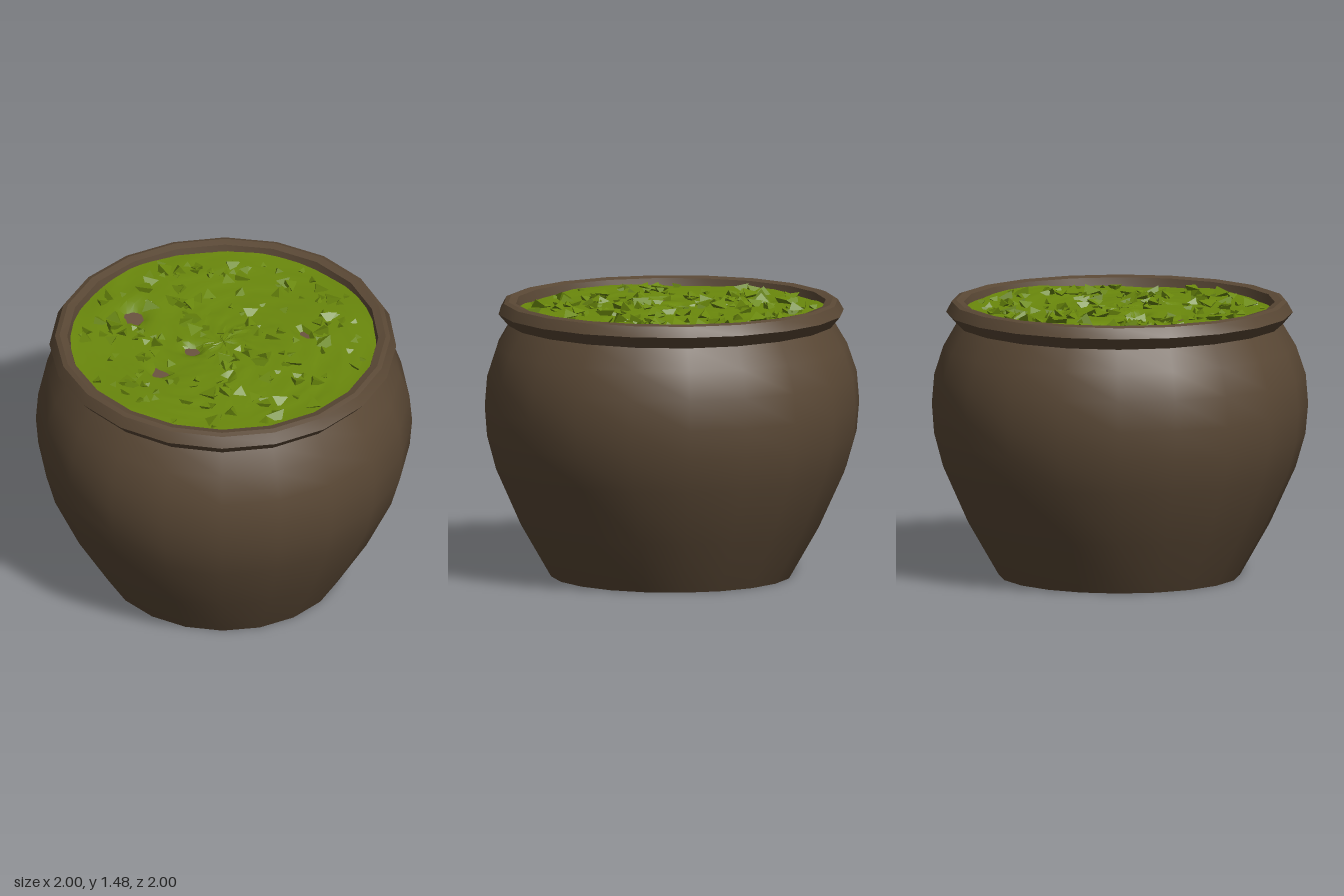
import * as THREE from 'three';
import { mergeGeometries, toCreasedNormals } from 'three/addons/utils/BufferGeometryUtils.js';

// Seeded random numbers
function makeRandom(seed) {
  return () => {
    seed = (seed * 1664525 + 1013904223) % 4294967296;
    return seed / 4294967296;
  };
}

// Bare soil spots: x, z, radius
const BARE = [
  [-0.53, 0.08, 0.06], [-0.71, -0.14, 0.03], [0.28, -0.34, 0.03], [0.53, -0.2, 0.03],
  [-0.13, 0.4, 0.04], [-0.1, 0.14, 0.04], [0.66, 0.04, 0.03], [0.2, 0.24, 0.02],
];
const SOIL_Y = 1.4;

// Gently lumpy moss height with dips at the bare spots
function mossHeight(x, z) {
  let y = 1.427 + 0.007 * Math.sin(7 * x + 2 * z) + 0.006 * Math.cos(8 * z - 3 * x);
  for (const [bx, bz, r] of BARE) {
    y -= 0.06 * Math.exp(-((x - bx) ** 2 + (z - bz) ** 2) / (r * r));
  }
  return y;
}

function lathe(profile, sides, wobble) {
  const geo = new THREE.LatheGeometry(profile.map(([x, y]) => new THREE.Vector2(x, y)), sides);
  const p = geo.attributes.position;
  for (let i = 0; i < p.count; i++) {
    const x = p.getX(i), y = p.getY(i), z = p.getZ(i);
    const a = Math.atan2(z, x);
    const k = 1 + wobble * Math.sin(3 * a + 4 * y);
    p.setX(i, x * k);
    p.setZ(i, z * k);
  }
  return toCreasedNormals(geo, 0.5);
}

// Moss carpet: a disc with jittered vertices
function mossCarpet(random) {
  const geo = new THREE.RingGeometry(0.001, 0.812, 44, 22);
  geo.rotateX(-Math.PI / 2);
  const p = geo.attributes.position;
  for (let ring = 0; ring <= 22; ring++) {
    for (let s = 0; s <= 44; s++) {
      const i = ring * 45 + s;
      if (s === 44) {
        p.setXYZ(i, p.getX(i - 44), p.getY(i - 44), p.getZ(i - 44));
        continue;
      }
      const amount = ring > 0 && ring < 22 ? 0.012 : 0;
      const x = p.getX(i) + (random() - 0.5) * amount;
      const z = p.getZ(i) + (random() - 0.5) * amount;
      p.setXYZ(i, x, mossHeight(x, z) + (random() - 0.5) * 0.008, z);
    }
  }
  return toCreasedNormals(geo, 0.5);
}

// Small angular tufts scattered over the carpet
function mossTufts(random) {
  const tufts = [];
  while (tufts.length < 190) {
    const a = random() * Math.PI * 2, r = 0.76 * Math.sqrt(random());
    const x = r * Math.cos(a), z = r * Math.sin(a);
    if (BARE.some(([bx, bz, br]) => Math.hypot(x - bx, z - bz) < br + 0.04)) continue;
    const size = 0.02 + 0.035 * random() ** 2;
    const geo = new THREE.TetrahedronGeometry(size);
    geo.rotateX(random() * 6.28).rotateY(random() * 6.28).rotateZ(random() * 6.28);
    geo.scale(1.2, 0.85, 1.2);
    geo.translate(x, mossHeight(x, z) + size * 0.2, z);
    tufts.push(geo);
  }
  return mergeGeometries(tufts);
}

export function createModel() {
  const clay = new THREE.MeshStandardMaterial({ color: 0x5a4835 });
  clay.name = 'brown clay';
  const moss = new THREE.MeshStandardMaterial({ color: 0x6a880c });
  moss.name = 'moss green';
  const soil = new THREE.MeshStandardMaterial({ color: 0x6b5340 });
  soil.name = 'soil brown';

  const model = new THREE.Group();
  model.name = 'mossPot';
  const add = (name, geometry, material) => {
    const mesh = new THREE.Mesh(geometry, material);
    mesh.name = name;
    model.add(mesh);
    return mesh;
  };

  // Rounded body with a flat base
  add('body', lathe([
    [0, 0], [0.64, 0], [0.8, 0.28], [0.935, 0.58], [0.985, 0.76],
    [0.998, 0.92], [0.985, 1.08], [0.935, 1.23], [0.865, 1.35],
  ], 20, 0.003), clay);

  // Flared lip and inner wall
  add('rim', lathe([
    [0.86, 1.34], [0.92, 1.41], [0.89, 1.465], [0.865, 1.474], [0.825, 1.465], [0.802, 1.37],
  ], 20, 0.006), clay);

  // Filling
  const bed = new THREE.CircleGeometry(0.815, 32);
  bed.rotateX(-Math.PI / 2);
  add('soil', bed, soil).position.y = SOIL_Y;
  const random = makeRandom(7);
  add('mossCarpet', mossCarpet(random), moss);
  add('mossTufts', mossTufts(random), moss);
  return model;
}
